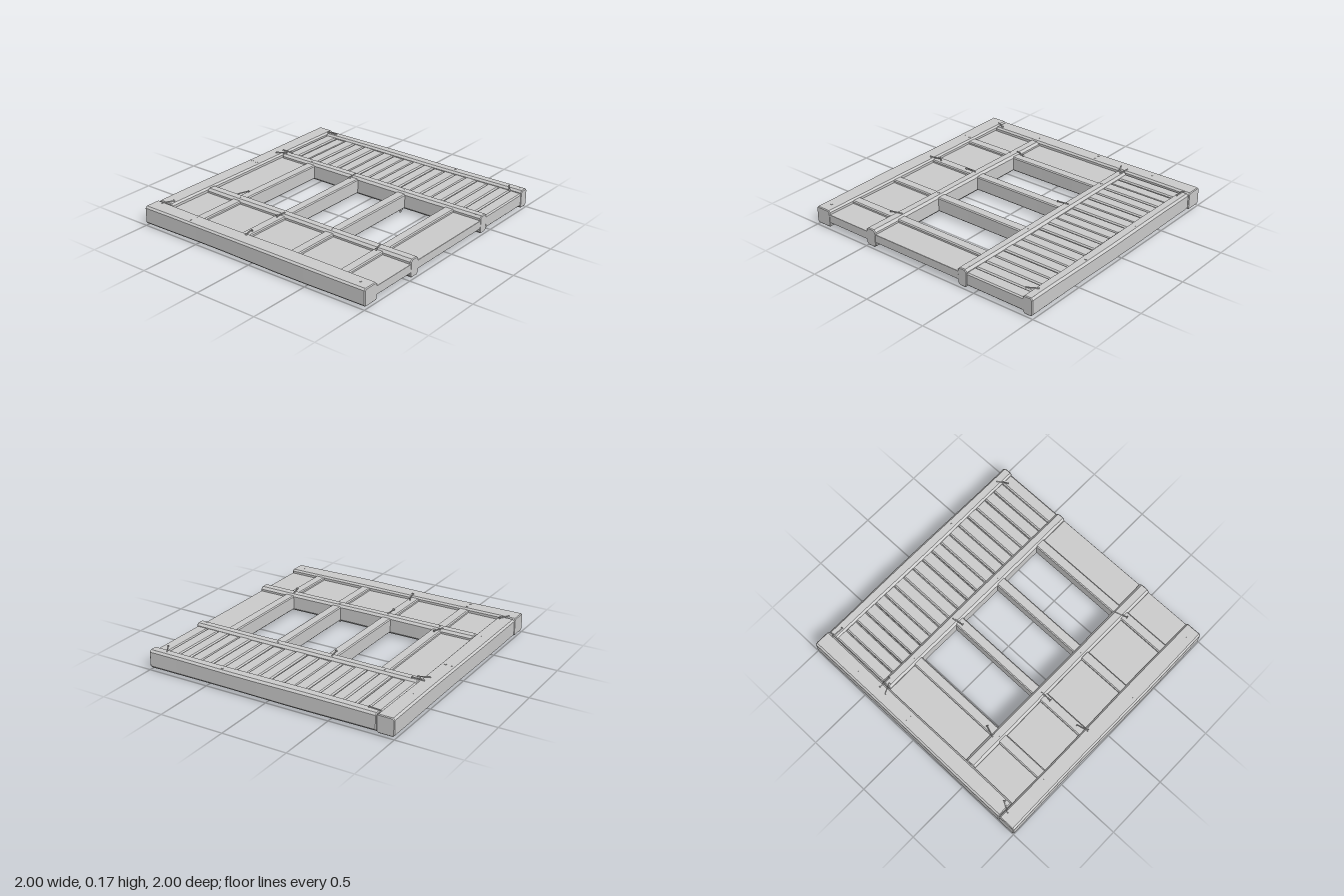
import * as THREE from 'three';

const material = new THREE.MeshStandardMaterial({ color: 0xcccccc, flatShading: true });

// small seeded generator for the hand-cut irregularities
let seed = 7;
const rand = () => {
  seed = (seed * 16807) % 2147483647;
  return seed / 2147483647;
};

// chamfered timber filling the given bounds; its long edges waver by `wobble`
function timber(name, [x0, x1], [y0, y1], [z0, z1], alongX, chamfer, wobble = 0) {
  const length = alongX ? x1 - x0 : z1 - z0;
  const w = (alongX ? z1 - z0 : x1 - x0) / 2;
  const h = (y1 - y0) / 2;
  const c = chamfer, e = Math.min(0.006, chamfer);
  const a = w - e, b = h - e;
  const section = new THREE.Shape([
    [a - c, -b], [a, c - b], [a, b - c], [a - c, b],
    [c - a, b], [-a, b - c], [-a, c - b], [c - a, -b],
  ].map(([x, y]) => new THREE.Vector2(x, y)));
  const geometry = new THREE.ExtrudeGeometry(section, {
    depth: length - 2 * e, steps: wobble ? 8 : 1,
    bevelEnabled: true, bevelSize: e, bevelThickness: e, bevelSegments: 1,
  });
  geometry.translate(0, 0, e - length / 2);
  const phase = rand() * 6;
  const p = geometry.attributes.position;
  for (let i = 0; i < p.count; i++) {
    const t = p.getZ(i);
    p.setX(i, p.getX(i) * (1 + wobble / w * (Math.sin(t * 4 + phase) - 0.5)));
    p.setY(i, p.getY(i) * (1 + wobble / h * 0.6 * (Math.sin(t * 5 + phase * 2) - 0.5)));
  }
  if (alongX) geometry.rotateY(Math.PI / 2);
  geometry.translate((x0 + x1) / 2, (y0 + y1) / 2, (z0 + z1) / 2);
  geometry.computeVertexNormals();
  const mesh = new THREE.Mesh(geometry, material);
  mesh.name = name;
  return mesh;
}

// low domed head of a nail driven home
function nailHead(x, z, y) {
  const mesh = new THREE.Mesh(new THREE.CylinderGeometry(0.009, 0.009, 0.012, 6), material);
  mesh.position.set(x, y, z);
  mesh.name = 'nailHead';
  return mesh;
}

// nail hammered over flat, with its head at the far end
function bentNail(x0, z0, x1, z1, y, up) {
  const group = new THREE.Group();
  group.name = 'bentNail';
  const start = new THREE.Vector3(x0, y - 0.02 * up, z0);
  const knee = new THREE.Vector3(x0, y + 0.005 * up, z0);
  const end = new THREE.Vector3(x1, y + 0.007 * up, z1);
  const path = new THREE.CatmullRomCurve3([start, knee, end], false, 'catmullrom', 0.1);
  const shank = new THREE.Mesh(new THREE.TubeGeometry(path, 8, 0.005, 5), material);
  shank.name = 'shank';
  const head = new THREE.Mesh(new THREE.CylinderGeometry(0.009, 0.009, 0.005, 6), material);
  head.name = 'head';
  head.position.copy(end);
  head.quaternion.setFromUnitVectors(new THREE.Vector3(0, 1, 0), end.clone().sub(knee).normalize());
  group.add(shank, head);
  return group;
}

export function createModel() {
  seed = 7;
  const model = new THREE.Group();
  model.name = 'timberWall';
  const add = (...args) => model.add(timber(...args));
  const beamY = [0.029, 0.167];

  // outer frame
  add('frontBeam', [-1, 1], beamY, [0.86, 1], true, 0.01, 0.003);
  add('sidePost', [-1, -0.865], beamY, [-1, 0.857], false, 0.01, 0.002);

  // cross rails
  add('backRail', [-0.862, 1], beamY, [-1, -0.912], true, 0.012, 0.003);
  add('upperRail', [-0.862, 1], beamY, [-0.443, -0.358], true, 0.014, 0.002);
  add('lowerRail', [-0.865, 1], beamY, [0.405, 0.492], true, 0.014, 0.002);

  // studs between the rails, forming three window openings
  for (const x of [-0.572, -0.142, 0.298, 0.728]) {
    add('windowStud', [x - 0.04, x + 0.04], [0.04, 0.155], [-0.37, 0.415], false, 0.005, 0.001);
    add('lowerStud', [x - 0.04, x + 0.04], [0.04, 0.155], [0.48, 0.87], false, 0.005, 0.001);
  }

  // recessed infill panels
  const panelY = [0.07, 0.134];
  add('leftPanel', [-0.875, -0.6], panelY, [-0.37, 0.415], false, 0.001);
  add('rightPanel', [0.76, 0.998], panelY, [-0.37, 0.415], false, 0.001);
  const edges = [-0.875, -0.572, -0.142, 0.298, 0.728, 0.998];
  for (let i = 0; i < 5; i++) {
    add('lowerPanel', [edges[i], edges[i + 1]], panelY, [0.48, 0.87], true, 0.001);
  }

  // row of narrow planks
  const count = 19, pitch = 1.858 / count;
  for (let i = 0; i < count; i++) {
    const x = -0.86 + i * pitch, dy = (rand() - 0.5) * 0.008;
    add('plank', [x + 0.001, x + pitch - 0.001], [0.046 + dy, 0.147 + dy], [-0.922, -0.435],
      false, 0.006, 0.001);
  }

  // nail heads on both faces
  const heads = [
    [-0.21, -0.965], [0.38, -0.965], [0.957, -0.975], [0.957, -0.95], [-0.94, -0.623],
    [-0.588, -0.4], [0.294, -0.4], [0.947, -0.41], [0.947, -0.382], [-0.957, -0.11],
    [-0.909, -0.11], [-0.925, 0.45], [-0.572, 0.457], [0.289, 0.447], [-0.583, 0.9],
    [-0.583, 0.955], [0.299, 0.895], [0.299, 0.96], [0.914, 0.928],
  ];
  for (const [x, z] of heads) model.add(nailHead(x, z, 0.162), nailHead(x, z, 0.034));

  // bent nails on top
  const bent = [
    [-0.877, -0.95, -0.78, -0.944], [0.872, -0.955, 0.92, -0.88], [-0.91, -0.42, -0.813, -0.42],
    [-0.92, -0.35, -0.84, -0.388], [-0.166, -0.41, -0.15, -0.323], [-0.615, 0.43, -0.583, 0.345],
    [-0.134, 0.452, -0.134, 0.543], [0.7, 0.425, 0.727, 0.516], [-0.941, 0.89, -0.893, 0.81],
    [-0.134, 0.805, -0.112, 0.89],
  ];
  for (const n of bent) model.add(bentNail(...n, 0.165, 1));

  // bent nails underneath
  const under = [
    [-0.9, -0.95, -0.82, -0.95], [-0.91, 0.44, -0.83, 0.46], [-0.55, 0.9, -0.53, 0.83],
    [0.27, 0.42, 0.32, 0.49], [0.3, -0.4, 0.32, -0.33], [0.87, -0.94, 0.92, -0.88],
  ];
  for (const n of under) model.add(bentNail(...n, 0.029, -1));

  return model;
}
